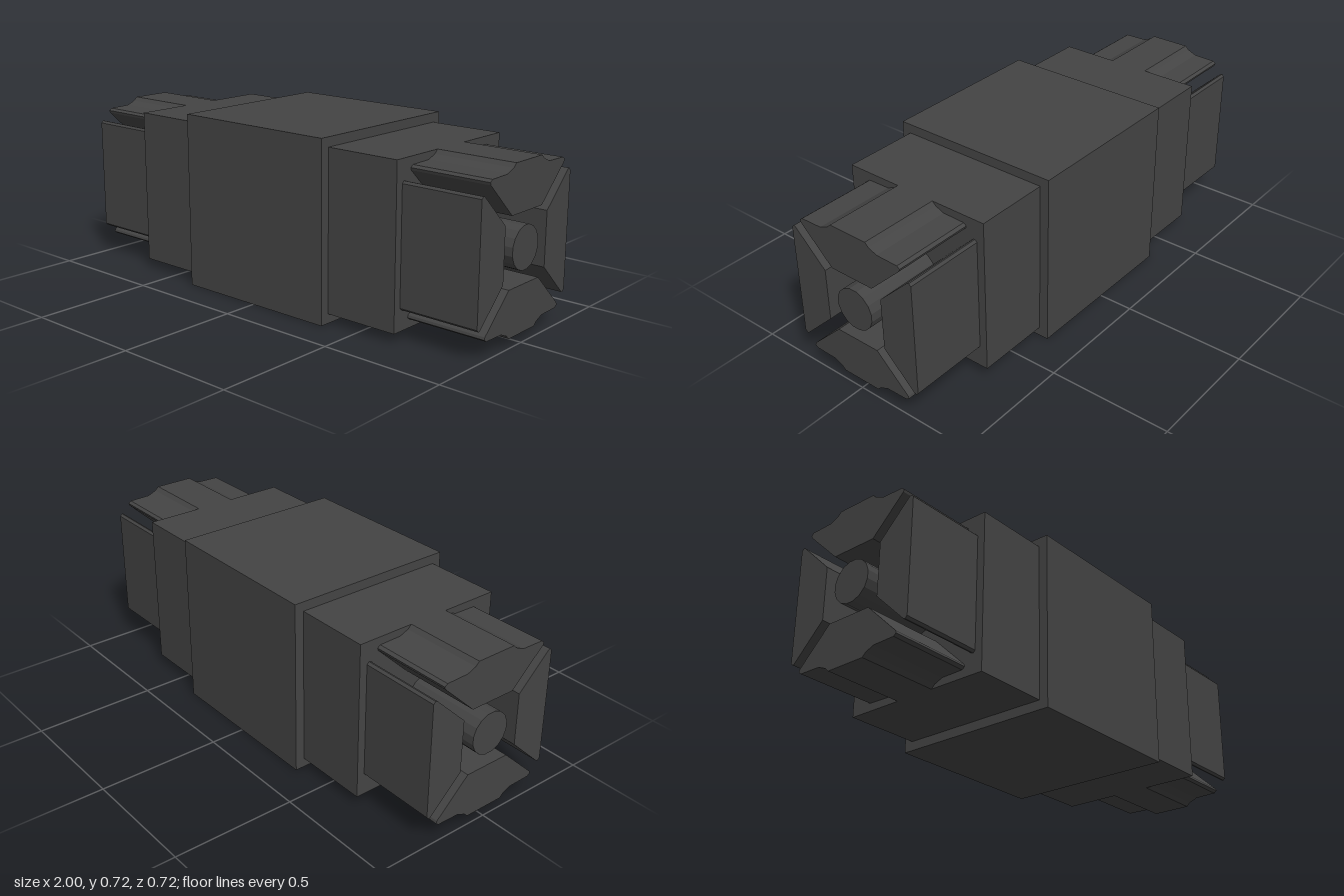
import * as THREE from 'three';

const CENTRE = 0.358; // height of the long axis
const TIP = 1, SHOULDER = 0.67;

export function createModel() {
  const group = new THREE.Group();
  const material = new THREE.MeshStandardMaterial({ color: 0x444444, flatShading: true });

  const add = (name, geometry, x = 0) => {
    const mesh = new THREE.Mesh(geometry, material);
    mesh.name = name;
    mesh.position.set(x, CENTRE, 0);
    group.add(mesh);
  };

  // Half of a symmetric cross-section, mirrored and extruded along x;
  // turn rotates it about the long axis
  const prong = (half, turn) => {
    const mirrored = half.map(([u, v]) => [-u, v]).reverse();
    const shape = new THREE.Shape([...half, ...mirrored].map(([u, v]) => new THREE.Vector2(u, v)));
    return new THREE.ExtrudeGeometry(shape, { depth: TIP - SHOULDER, bevelEnabled: false })
      .translate(0, 0, -(TIP - SHOULDER) / 2)
      .rotateY(Math.PI / 2)
      .rotateX(turn);
  };

  // Cross-sections as [sideways, outward] from the axis
  const keyedHalf = [
    [0.097, 0.135], [0.238, 0.269], [0.241, 0.279], [0.229, 0.288],
    [0.136, 0.29], [0.1, 0.305], [0.084, 0.32],
  ];
  const plainHalf = [
    [0.107, 0.136], [0.237, 0.271], [0.239, 0.279], [0.23, 0.288],
  ];

  // Stepped body
  add('centreBlock', new THREE.BoxGeometry(0.714, 0.716, 0.716));
  add('shoulderBlock', new THREE.BoxGeometry(SHOULDER * 2, 0.64, 0.64));

  // Four prongs around a pin at each end
  for (const side of [1, -1]) {
    const label = side > 0 ? 'left' : 'right';
    const x = side * (TIP + SHOULDER) / 2;
    add(label + 'TopProng', prong(keyedHalf, 0), x);
    add(label + 'BottomProng', prong(keyedHalf, Math.PI), x);
    add(label + 'FrontProng', prong(plainHalf, Math.PI / 2), x);
    add(label + 'BackProng', prong(plainHalf, -Math.PI / 2), x);
    const pin = new THREE.CylinderGeometry(0.085, 0.085, TIP - SHOULDER, 16)
      .rotateY(Math.PI / 16)
      .rotateZ(Math.PI / 2);
    add(label + 'Pin', pin, x);
  }
  return group;
}
